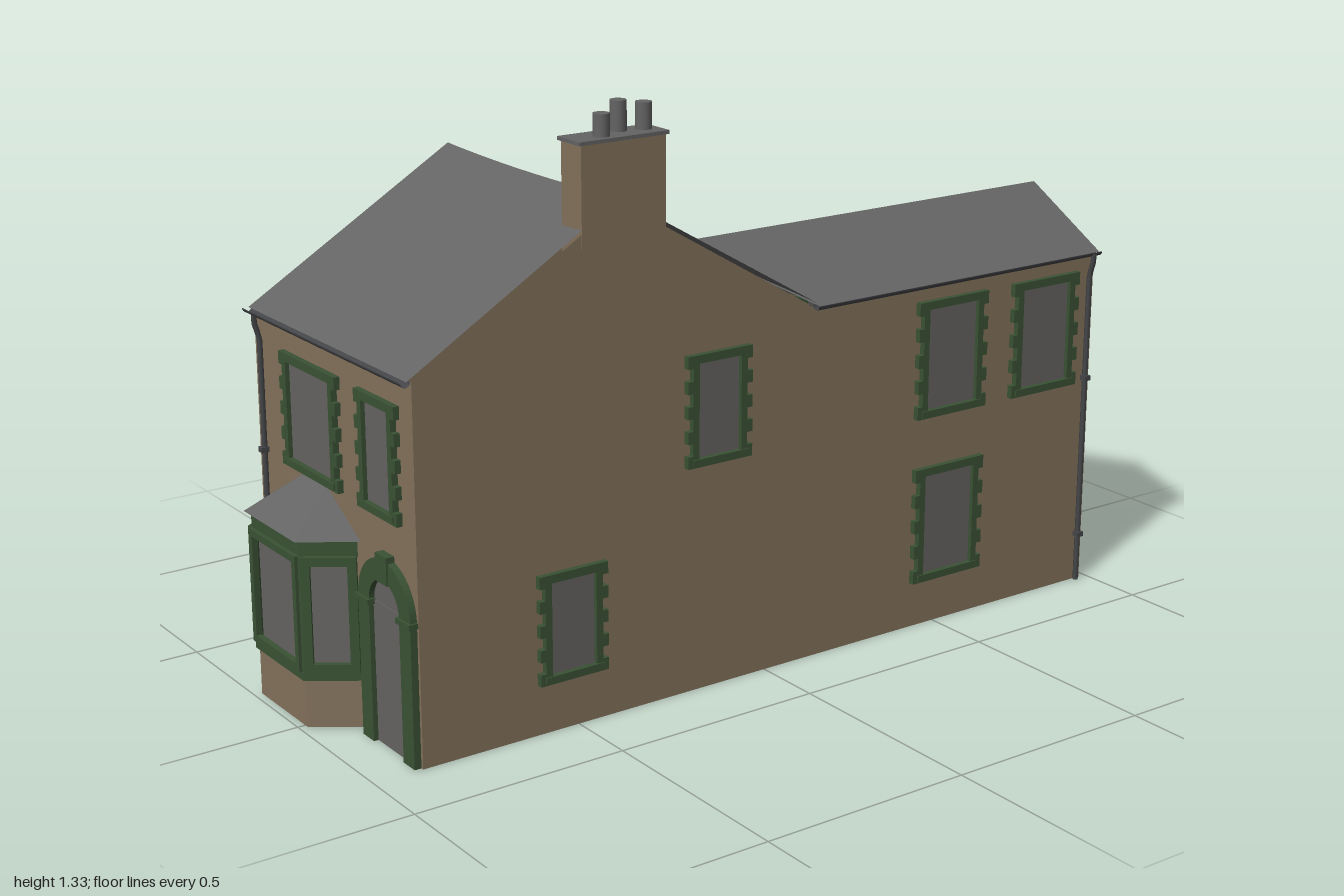
import * as THREE from 'three';

const mat = (name, color) => {
  const m = new THREE.MeshStandardMaterial({ color, side: THREE.DoubleSide });
  m.name = name;
  return m;
};

export function createModel() {
  const house = new THREE.Group();
  house.name = 'house';
  const stone = mat('brown stone', 0x84725d);
  const green = mat('green trim', 0x3a5234);
  const glass = mat('grey glass', 0x666463);
  const slate = mat('grey slate', 0x646464);
  const iron = mat('dark gutter iron', 0x454649);

  const add = (name, geo, material, x = 0, y = 0, z = 0, parent = house) => {
    const m = new THREE.Mesh(geo, material);
    m.name = name;
    m.position.set(x, y, z);
    parent.add(m);
    return m;
  };
  const box = (name, material, x0, x1, y0, y1, z0, z1, parent = house) =>
    add(name, new THREE.BoxGeometry(x1 - x0, y1 - y0, z1 - z0), material,
      (x0 + x1) / 2, (y0 + y1) / 2, (z0 + z1) / 2, parent);
  // flat convex polygons, each a list of corners
  const polys = (name, material, list) => {
    const pos = [];
    for (const p of list)
      for (let i = 1; i < p.length - 1; i++) pos.push(...p[0], ...p[i], ...p[i + 1]);
    const g = new THREE.BufferGeometry();
    g.setAttribute('position', new THREE.Float32BufferAttribute(pos, 3));
    g.computeVertexNormals();
    return add(name, g, material);
  };
  const extrude = (shape, depth) =>
    new THREE.ExtrudeGeometry(shape, { depth, bevelEnabled: false, curveSegments: 14 });

  // Overall plan
  const L = -0.352, R = 0.335, F = 0.885, B = -0.115;      // main block
  const WL = -0.11, WB = -0.98, WX = 0.115;                // rear wing
  const eave = 0.835, ridge = 1.135, ridgeZ = 0.385;
  const wEave = 0.83, wRidge = 0.96;

  // Main walls, open underneath
  const gable = (x) => [[x, 0, F], [x, 0, B], [x, eave, B], [x, ridge - 0.003, ridgeZ], [x, eave, F]];
  polys('mainWalls', stone, [
    gable(R), gable(L),
    [[L, 0, F], [R, 0, F], [R, eave, F], [L, eave, F]],
    [[R, 0, B], [L, 0, B], [L, eave, B], [R, eave, B]],
  ]);
  // Wing walls
  polys('wingWalls', stone, [
    [[R, 0, B], [R, 0, WB], [R, wEave, WB], [R, wEave, B]],
    [[WL, 0, WB], [WL, 0, B], [WL, wEave, B], [WL, wEave, WB]],
    [[R, 0, WB], [WL, 0, WB], [WL, wEave, WB], [WX, wRidge - 0.003, WB], [R, wEave, WB]],
  ]);

  // Main roof: two slopes with a slightly sagging ridge
  const slope = (name, zEave) => {
    const g = new THREE.PlaneGeometry(1, 1, 12, 1);
    const p = g.attributes.position;
    for (let i = 0; i < p.count; i++) {
      const u = p.getX(i), v = p.getY(i) + 0.5;
      const top = ridge - 0.004 + 0.008 * (2 * u) ** 2;
      p.setXYZ(i, L - 0.003 + (u + 0.5) * (R - L + 0.004), eave + 0.002 + v * (top - eave),
        zEave + v * (ridgeZ - zEave));
    }
    g.computeVertexNormals();
    add(name, g, slate);
  };
  slope('mainRoofFront', F + 0.012);
  slope('mainRoofBack', B - 0.018);
  // Wing roof, running up into the main roof
  const we = 0.012;
  polys('wingRoof', slate, [
    [[WX, wRidge, 0.08], [WX, wRidge, WB - 0.006], [R + we, wEave, WB - 0.006], [R + we, wEave, B - 0.02]],
    [[WX, wRidge, WB - 0.006], [WX, wRidge, 0.08], [WL - we, wEave, B - 0.02], [WL - we, wEave, WB - 0.006]],
  ]);

  // Chimney with cap and pots
  box('chimney', stone, 0.262, R + 0.001, 1.0, 1.262, 0.27, 0.48);
  box('chimneyCap', slate, 0.257, R + 0.005, 1.26, 1.268, 0.264, 0.486);
  for (const [x, z, top] of [[0.295, 0.298, 1.325], [0.283, 0.353, 1.333], [0.31, 0.413, 1.316]])
    add('chimneyPot', new THREE.CylinderGeometry(0.018, 0.018, top - 1.265, 14), slate, x, (top + 1.265) / 2, z);

  // Windows: a quoined surround with a pane set back in it
  const windowAt = (x, y0, z, w, y1, turn) => {
    const grp = new THREE.Group(), h = y1 - y0, s = new THREE.Shape(), n = 9;
    const side = (i) => w / 2 - (i % 2 ? 0.014 : 0);
    for (let i = 0; i < n; i++)
      for (const e of [i, i + 1]) s[i + e ? 'lineTo' : 'moveTo'](side(i), (e * h) / n);
    for (let i = n - 1; i >= 0; i--)
      for (const e of [i + 1, i]) s.lineTo(-side(i), (e * h) / n);
    const a = w / 2 - 0.03, b = 0.019;
    s.holes.push(new THREE.Path([[-a, b], [-a, h - b], [a, h - b], [a, b]].map((p) => new THREE.Vector2(...p))));
    add('windowSurround', extrude(s, 0.028), green, 0, 0, -0.014, grp);
    box('windowSill', green, -w / 2 + 0.012, w / 2 - 0.012, 0.004, 0.019, 0, 0.017, grp);
    box('windowPane', glass, -a - 0.004, a + 0.004, b - 0.004, h - b + 0.004, -0.01, 0.004, grp);
    grp.name = 'window';
    grp.position.set(x, y0, z);
    grp.rotation.y = turn;
    house.add(grp);
  };
  const q = Math.PI / 2;
  windowAt(-0.092, 0.517, F, 0.25, 0.772, 0);
  windowAt(0.199, 0.517, F, 0.166, 0.772, 0);
  windowAt(R, 0.523, 0.136, 0.172, 0.775, q);
  windowAt(R, 0.115, 0.517, 0.172, 0.362, q);
  windowAt(R, 0.512, -0.82, 0.208, 0.79, q);
  for (const [y0, y1] of [[0.11, 0.39], [0.512, 0.79]]) {
    windowAt(R, y0, -0.53, 0.208, y1, q);
    windowAt(WL, y0, -0.53, 0.208, y1, -q);
    windowAt(WX - 0.005, y0, WB, 0.205, y1, 2 * q);
  }
  windowAt(-0.215, 0.512, B, 0.19, 0.79, 2 * q);
  box('backDoor', glass, -0.325, -0.195, 0, 0.32, B - 0.004, B + 0.004);

  // Arched front door
  const door = new THREE.Group();
  door.name = 'frontDoor';
  door.position.set(0.219, 0, F);
  house.add(door);
  const ro = 0.109, ri = 0.063, sp = 0.32;
  const arch = new THREE.Shape();
  arch.moveTo(-ro, 0).lineTo(-ro, sp).absarc(0, sp, ro, Math.PI, 0, true);
  arch.lineTo(ro, 0).lineTo(ri, 0).lineTo(ri, sp).absarc(0, sp, ri, 0, Math.PI, false).lineTo(-ri, 0);
  add('doorArch', extrude(arch, 0.016), green, 0, 0, 0, door);
  const fan = new THREE.Shape();
  fan.moveTo(ri, sp).absarc(0, sp, ri, 0, Math.PI, false);
  add('fanlight', extrude(fan, 0.003), glass, 0, 0, 0, door);
  box('doorLeaf', glass, -ri, ri, 0, sp, 0, 0.005, door);
  box('keystone', green, -0.023, 0.023, 0.378, 0.44, 0, 0.02, door);
  for (const s of [-1, 1])
    box('impost', green, s * 0.086 - 0.028, s * 0.086 + 0.028, 0.311, 0.323, 0, 0.022, door);

  // Bay window, built on a three-sided plan
  const plan = (d) => [[-0.273 - d, F], [-0.204 - d * 0.6, 0.982 + d], [0.012 + d * 0.6, 0.982 + d], [0.081 + d, F]];
  const bayLayer = (name, material, d, y0, y1) => {
    const g = extrude(new THREE.Shape(plan(d).map(([x, z]) => new THREE.Vector2(x, -z))), y1 - y0);
    add(name, g.rotateX(-q), material, 0, y0, 0);
  };
  bayLayer('bayBase', stone, 0, 0, 0.112);
  bayLayer('baySill', green, 0.007, 0.11, 0.13);
  bayLayer('bayGlass', glass, -0.008, 0.13, 0.395);
  bayLayer('bayHeader', green, 0.004, 0.39, 0.43);
  const pts = plan(0);
  for (let i = 0; i < 3; i++) {
    const [ax, az] = pts[i], [bx, bz] = pts[i + 1], len = Math.hypot(bx - ax, bz - az);
    const rect = (m) => [[m, m], [len - m, m], [len - m, 0.262 - m], [m, 0.262 - m]].map((p) => new THREE.Vector2(...p));
    const s = new THREE.Shape(rect(0));
    s.holes.push(new THREE.Path(rect(i === 1 ? 0.016 : 0.02)));
    add('bayFrame', extrude(s, 0.014), green, ax, 0.13, az).rotation.y = Math.atan2(az - bz, bx - ax);
    if (i) add('bayPost', new THREE.CylinderGeometry(0.007, 0.007, 0.262, 8), green, ax, 0.261, az);
  }
  // Hipped bay roof
  const e = plan(0.018).map(([x, z]) => [x, 0.428, Math.min(z, 0.999)]);
  const t0 = [-0.142, 0.512, F + 0.001], t1 = [-0.042, 0.512, F + 0.001];
  polys('bayRoof', slate, [[e[0], e[1], t0], [e[1], e[2], t1, t0], [e[2], e[3], t1], [e[3], e[2], e[1], e[0]]]);

  // Half-round gutters
  const gutter = (x, y, z, len, alongX) => {
    const g = new THREE.CylinderGeometry(0.011, 0.011, len, 10, 1, true, -q, Math.PI).rotateX(q);
    if (alongX) g.rotateY(q);
    add('gutter', g, iron, x, y, z);
  };
  gutter(-0.006, 0.838, F + 0.017, 0.695, true);
  gutter(-0.238, 0.836, B - 0.026, 0.235, true);
  gutter(R + 0.011, 0.833, -0.555, 0.86, false);
  gutter(WL - 0.011, 0.833, -0.555, 0.86, false);

  // Downpipes: swan neck from the gutter, then down the wall, with brackets
  const downpipe = (x, z, nx, nz) => {
    const p = (out, y) => new THREE.Vector3(x + nx * out, y, z + nz * out);
    const path = new THREE.CurvePath();
    const c = [p(0.018, 0.83), p(0.018, 0.81), p(0.007, 0.775), p(0.007, 0.0)];
    for (let i = 0; i < 3; i++) path.add(new THREE.LineCurve3(c[i], c[i + 1]));
    add('downpipe', new THREE.TubeGeometry(path, 40, 0.0065, 8), iron);
    for (const y of [0.12, 0.52])
      add('pipeBracket', new THREE.BoxGeometry(0.018, 0.012, 0.018), iron, x + nx * 0.009, y, z + nz * 0.009);
  };
  downpipe(-0.318, F, 0, 1);
  downpipe(-0.335, B, 0, -1);
  downpipe(R, -0.962, 1, 0);
  downpipe(WL, -0.962, -1, 0);

  return house;
}
